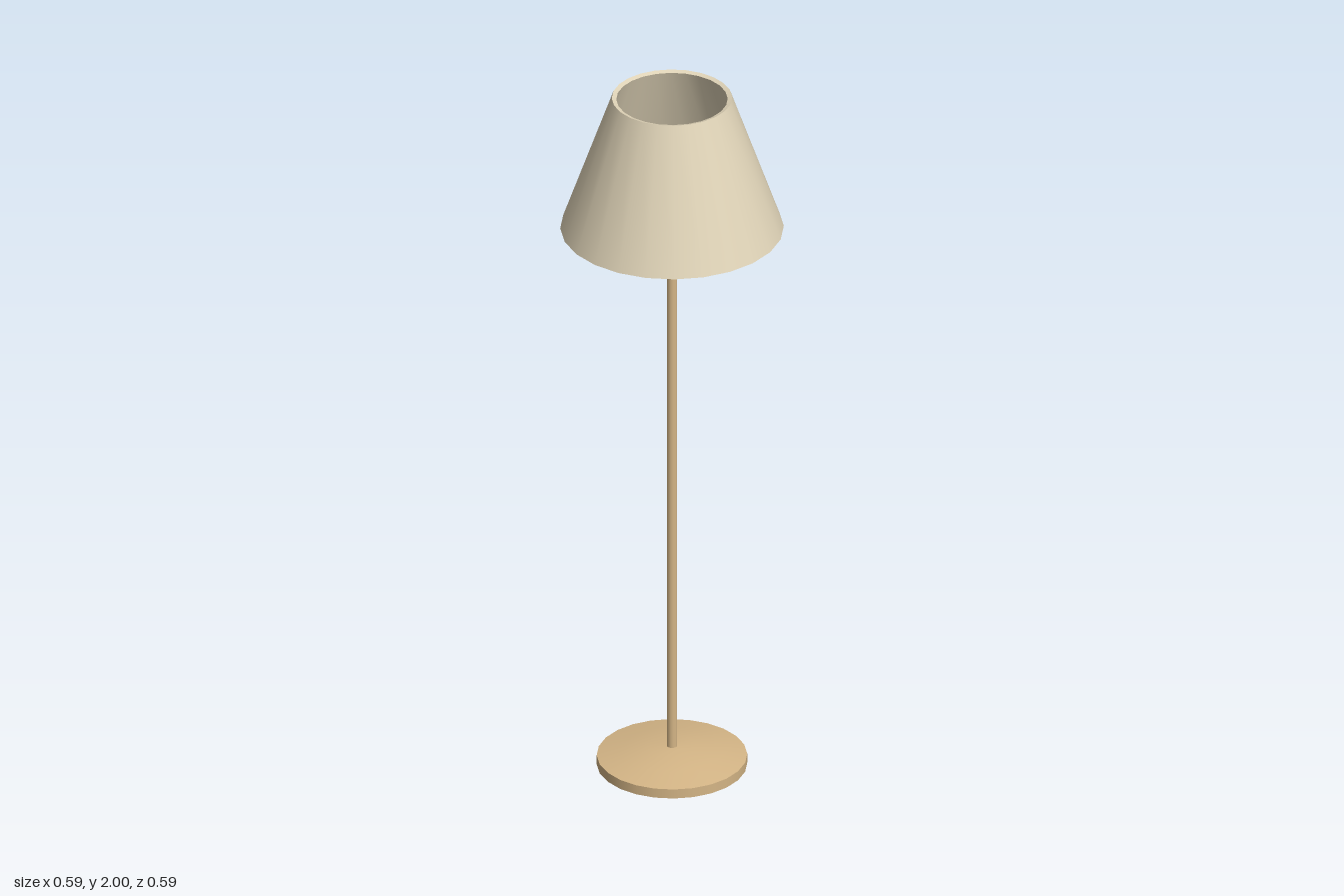
import * as THREE from 'three';
import { mergeGeometries } from 'three/addons/utils/BufferGeometryUtils.js';

const SIDES = 24;

// Revolves several profile runs; each run is smooth, with a sharp edge between runs.
function revolve(name, color, runs, sides = SIDES) {
  const parts = runs.map((run) =>
    new THREE.LatheGeometry(run.map(([r, y]) => new THREE.Vector2(r, y)), sides));
  const mesh = new THREE.Mesh(mergeGeometries(parts), new THREE.MeshStandardMaterial({ color }));
  mesh.name = name;
  return mesh;
}

export function createModel() {
  const lamp = new THREE.Group();
  lamp.name = 'floorLamp';
  const wood = 0xd4b586, fabric = 0xe0d4b8, glass = 0xf3eedc;

  // Round foot: flat underside, short wall, shallow domed top
  lamp.add(revolve('base', wood, [
    [[0, 0], [0.2, 0]],
    [[0.2, 0], [0.2, 0.027]],
    [[0.2, 0.027], [0.13, 0.041], [0.06, 0.052], [0, 0.054]],
  ]));

  // Slim pole from the foot to the bulb
  const pole = new THREE.Mesh(
    new THREE.CylinderGeometry(0.014, 0.014, 1.75, 12),
    new THREE.MeshStandardMaterial({ color: wood }));
  pole.name = 'pole';
  pole.position.y = 0.04 + 1.75 / 2;
  lamp.add(pole);

  // Bulb hidden inside the shade
  const bulb = new THREE.Mesh(
    new THREE.SphereGeometry(0.043, 10, 8),
    new THREE.MeshStandardMaterial({ color: glass }));
  bulb.name = 'bulb';
  bulb.rotation.y = Math.PI / 2;
  bulb.position.y = 1.81;
  lamp.add(bulb);

  // Open conical shade with thickness set square to its slope
  const outerLow = [0.297, 1.611], outerHigh = [0.16, 2];
  const innerLow = [0.285, 1.607], innerHigh = [0.148, 1.996];
  lamp.add(revolve('shade', fabric, [
    [outerLow, outerHigh],
    [outerHigh, innerHigh],
    [innerHigh, innerLow],
    [innerLow, outerLow],
  ]));

  return lamp;
}
